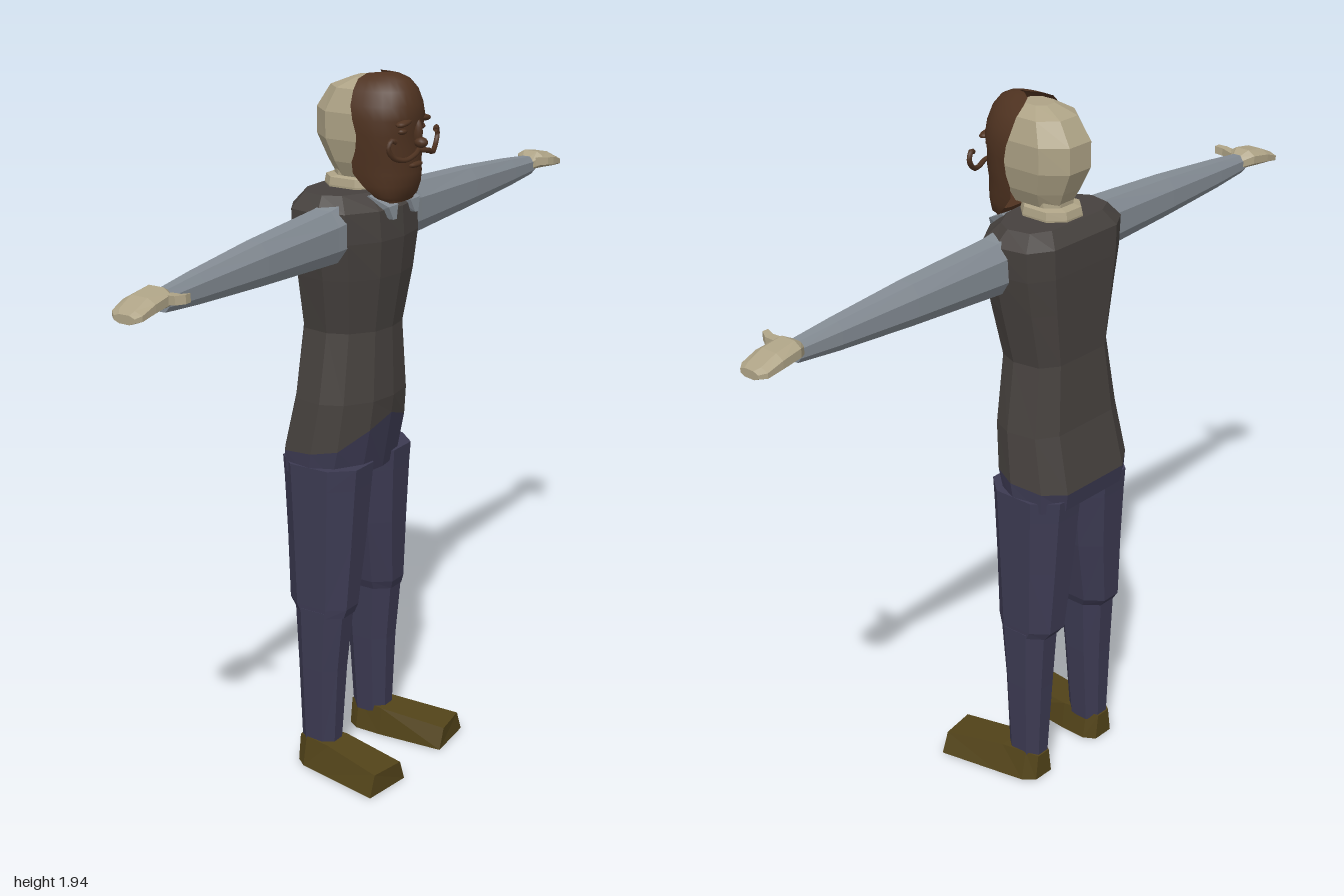
import * as THREE from 'three';

const mat = (name, color, side = THREE.FrontSide) => {
  const m = new THREE.MeshStandardMaterial({ color, side });
  m.name = name;
  return m;
};

// Unit outlines as [x, z] corners
const BODY = [[1, 0], [0.9, 0.45], [0.5, 0.85], [0, 1], [-0.7, 0.92], [-1, 0.6],
  [-1, 0], [-1, -0.6], [-0.7, -0.92], [0, -1], [0.5, -0.85], [0.9, -0.45]];
const LIMB = [[1, 0.45], [0.5, 1], [-0.5, 1], [-1, 0.45], [-1, -0.45], [-0.5, -1], [0.5, -1], [1, -0.45]];

// Horizontal ring between x0..x1 and z0..z1
const ringY = (shape, y, x0, x1, z0, z1) => shape.map(([u, v]) =>
  [(x0 + x1) / 2 + u * (x1 - x0) / 2, y, (z0 + z1) / 2 + v * (z1 - z0) / 2]);
// Ring across the arm axis
const ringZ = (shape, z, x0, x1, y0, y1) => shape.map(([u, v]) =>
  [(x0 + x1) / 2 + u * (x1 - x0) / 2, (y0 + y1) / 2 + v * (y1 - y0) / 2, z]);

// Skin a list of rings; faces are turned outward automatically
function loft(rings, { s = 1, closed = true, smooth = false } = {}) {
  const n = rings[0].length, pos = [], idx = [];
  rings.forEach(r => r.forEach(([x, y, z]) => pos.push(x, y, z * s)));
  const count = rings.length * n;
  for (let i = 0; i < rings.length - 1; i++) {
    for (let j = 0; j < (closed ? n : n - 1); j++) {
      const a = i * n + j, b = i * n + (j + 1) % n;
      idx.push(a, b, b + n, a, b + n, a + n);
    }
  }
  if (closed) {
    const last = count - n;
    for (let j = 1; j < n - 1; j++) idx.push(0, j + 1, j, last, last + j, last + j + 1);
  }
  const p = i => new THREE.Vector3().fromArray(pos, i * 3);
  const c = new THREE.Vector3();
  for (let i = 0; i < count; i++) c.addScaledVector(p(i), 1 / count);
  let vol = 0;
  for (let i = 0; i < idx.length; i += 3) {
    const [a, b, d] = [0, 1, 2].map(k => p(idx[i + k]).sub(c));
    vol += a.dot(b.cross(d));
  }
  if (vol < 0) for (let i = 0; i < idx.length; i += 3) [idx[i], idx[i + 1]] = [idx[i + 1], idx[i]];
  let g = new THREE.BufferGeometry();
  g.setAttribute('position', new THREE.Float32BufferAttribute(pos, 3));
  g.setIndex(idx);
  if (!smooth) g = g.toNonIndexed();
  g.computeVertexNormals();
  return g;
}

export function createModel() {
  const model = new THREE.Group();
  model.name = 'figure';
  const vest = mat('charcoal vest', 0x46413e);
  const cloth = mat('navy trousers', 0x3c3a52);
  const shirt = mat('grey shirt', 0x848c94);
  const skin = mat('pale skin', 0xaea386);
  const leather = mat('brown leather', 0x524319);
  const brown = mat('dark brown mask', 0x4e3220, THREE.DoubleSide);
  const add = (name, g, m, parent = model) => {
    const mesh = new THREE.Mesh(g, m);
    mesh.name = name;
    parent.add(mesh);
    return mesh;
  };

  // Vest with a hem that arches up at the front
  const hem = ringY(BODY, 0.93, -0.19, 0.078, -0.19, 0.19);
  [1.03, 1.0, 0.95, 0.94, 0.93, 0.92, 0.92, 0.92, 0.93, 0.94, 0.95, 1.0].forEach((y, i) => { hem[i][1] = y; });
  const body = (y, x0, x1, w) => ringY(BODY, y, x0, x1, -w, w);
  add('vest', loft([hem, body(1.08, -0.155, 0.085, 0.178), body(1.27, -0.142, 0.08, 0.147),
    body(1.42, -0.146, 0.105, 0.178), body(1.52, -0.15, 0.115, 0.197),
    body(1.6, -0.15, 0.11, 0.202), body(1.64, -0.12, 0.06, 0.165)]), vest);
  add('pelvis', loft([body(0.87, -0.182, 0.05, 0.186), hem]), cloth);

  // Legs, shoes, arms and hands, mirrored
  for (const s of [1, -1]) {
    const side = new THREE.Group();
    side.name = s > 0 ? 'rearwardSideLimbs' : 'forwardSideLimbs';
    side.name = s > 0 ? 'limbsPlusZ' : 'limbsMinusZ';
    model.add(side);
    const leg = (...a) => ringY(LIMB, ...a);
    add('thigh', loft([leg(0.9, -0.183, 0.055, 0.0, 0.188), leg(0.84, -0.178, 0.05, 0.004, 0.187),
      leg(0.68, -0.168, 0.04, 0.02, 0.184), leg(0.49, -0.157, 0.028, 0.052, 0.181),
      leg(0.465, -0.138, 0.02, 0.062, 0.18)], { s }), cloth, side);
    add('shin', loft([leg(0.48, -0.138, 0.018, 0.062, 0.182), leg(0.3, -0.128, 0.0, 0.072, 0.179),
      leg(0.06, -0.118, -0.012, 0.09, 0.172)], { s }), cloth, side);

    // Shoe: trapezoid sections from heel to a splayed toe
    const shoe = (x, h, b0, b1, t0, t1, skew = 0) =>
      [[x, 0, b0], [x - skew, 0, b1], [x - skew, h, t1], [x, h, t0]];
    add('shoe', loft([shoe(-0.122, 0.075, 0.1, 0.165, 0.11, 0.155),
      shoe(-0.09, 0.085, 0.08, 0.19, 0.095, 0.172),
      shoe(-0.01, 0.08, 0.08, 0.207, 0.09, 0.182),
      shoe(0.185, 0.06, 0.095, 0.243, 0.117, 0.22, 0.017)], { s }), leather, side);

    const arm = (...a) => ringZ(LIMB, ...a);
    add('sleeve', loft([arm(0.12, -0.06, 0.05, 1.47, 1.625), arm(0.2, -0.056, 0.047, 1.473, 1.612),
      arm(0.5, -0.045, 0.042, 1.487, 1.595), arm(0.74, -0.03, 0.032, 1.5, 1.575),
      arm(0.865, -0.02, 0.026, 1.51, 1.562)], { s }), shirt, side);
    add('hand', loft([arm(0.85, -0.018, 0.024, 1.52, 1.56), arm(0.88, -0.04, 0.045, 1.525, 1.575),
      arm(0.94, -0.045, 0.048, 1.52, 1.565), arm(0.985, -0.042, 0.046, 1.515, 1.545),
      arm(1.0, -0.025, 0.035, 1.515, 1.537)], { s }), skin, side);
    const th = (x, z, w, y) => [[x, y, z - w], [x, y, z + w], [x, y + 0.022, z + w], [x, y + 0.022, z - w]];
    add('thumb', loft([th(0.03, 0.875, 0.014, 1.538), th(0.066, 0.882, 0.012, 1.542),
      th(0.088, 0.873, 0.009, 1.546)], { s }), skin, side);

    // Collar tip
    add('collarTip', loft([
      [[0.06, 1.635, 0.02], [0.06, 1.635, 0.085], [0.04, 1.63, 0.085], [0.04, 1.63, 0.02]],
      [[0.115, 1.61, 0.03], [0.115, 1.61, 0.075], [0.09, 1.6, 0.075], [0.09, 1.6, 0.03]],
      [[0.12, 1.575, 0.045], [0.12, 1.575, 0.06], [0.105, 1.575, 0.06], [0.105, 1.575, 0.045]],
    ], { s }), shirt, side);
  }

  // Neck and faceted head
  const head = (y, x0, x1, w) => ringY(LIMB, y, x0, x1, -w, w);
  add('neck', loft([head(1.61, -0.11, 0.045, 0.065), head(1.645, -0.112, 0.045, 0.068),
    head(1.665, -0.108, 0.04, 0.065), head(1.67, -0.085, 0.04, 0.055), head(1.72, -0.085, 0.06, 0.055)]), skin);
  add('head', loft([head(1.67, -0.08, 0.08, 0.055), head(1.71, -0.1, 0.1, 0.075),
    head(1.77, -0.128, 0.11, 0.09), head(1.84, -0.128, 0.11, 0.092),
    head(1.9, -0.09, 0.09, 0.074), head(1.925, -0.03, 0.05, 0.035)]), skin);

  // Smooth mask shell wrapped round the front of the head
  const face = [[1.615, 0.09, 0.122, 0.055], [1.632, 0.075, 0.135, 0.08], [1.66, 0.045, 0.148, 0.09],
    [1.69, 0.02, 0.152, 0.097], [1.72, 0.018, 0.15, 0.1], [1.75, 0.03, 0.152, 0.102], [1.79, 0.035, 0.148, 0.104],
    [1.83, 0.025, 0.158, 0.107], [1.865, 0.015, 0.155, 0.1], [1.9, 0.012, 0.144, 0.083],
    [1.925, 0.01, 0.125, 0.057], [1.937, 0.02, 0.1, 0.03], [1.94, 0.055, 0.07, 0.004]];
  add('mask', loft(face.map(([y, x0, x1, w]) => Array.from({ length: 17 }, (_, i) => {
    const t = (i / 16 - 0.5) * Math.PI;
    return [x0 + (x1 - x0) * Math.cos(t) ** 0.85, y, w * Math.sin(t)];
  })), { closed: false, smooth: true }), brown);
  add('chin', loft([body(1.615, 0.085, 0.122, 0.055), body(1.64, 0.07, 0.13, 0.07)]), brown);

  // Nose, brows, eyelids and curled moustache
  const ball = (name, x, y, z, a, b, c, rx = 0) => {
    const m = add(name, new THREE.SphereGeometry(1, 12, 8), brown);
    m.position.set(x, y, z);
    m.scale.set(a, b, c);
    m.rotation.x = rx;
  };
  ball('noseBridge', 0.152, 1.795, 0, 0.015, 0.035, 0.011);
  ball('noseTip', 0.163, 1.77, 0, 0.019, 0.014, 0.016);
  ball('lip', 0.147, 1.712, 0, 0.012, 0.008, 0.03);
  for (const s of [1, -1]) {
    ball('brow', 0.14, 1.825, 0.045 * s, 0.016, 0.009, 0.032, s * 0.15);
    ball('eyelid', 0.132, 1.802, 0.043 * s, 0.014, 0.009, 0.018);
    const path = new THREE.CatmullRomCurve3([[0.155, 1.75, 0], [0.165, 1.745, 0.03], [0.158, 1.735, 0.065],
      [0.145, 1.745, 0.1], [0.14, 1.77, 0.118], [0.143, 1.79, 0.108], [0.148, 1.785, 0.095]]
      .map(([x, y, z]) => new THREE.Vector3(x, y, z * s)));
    add('moustache', new THREE.TubeGeometry(path, 24, 0.007, 6), brown);
  }
  return model;
}
